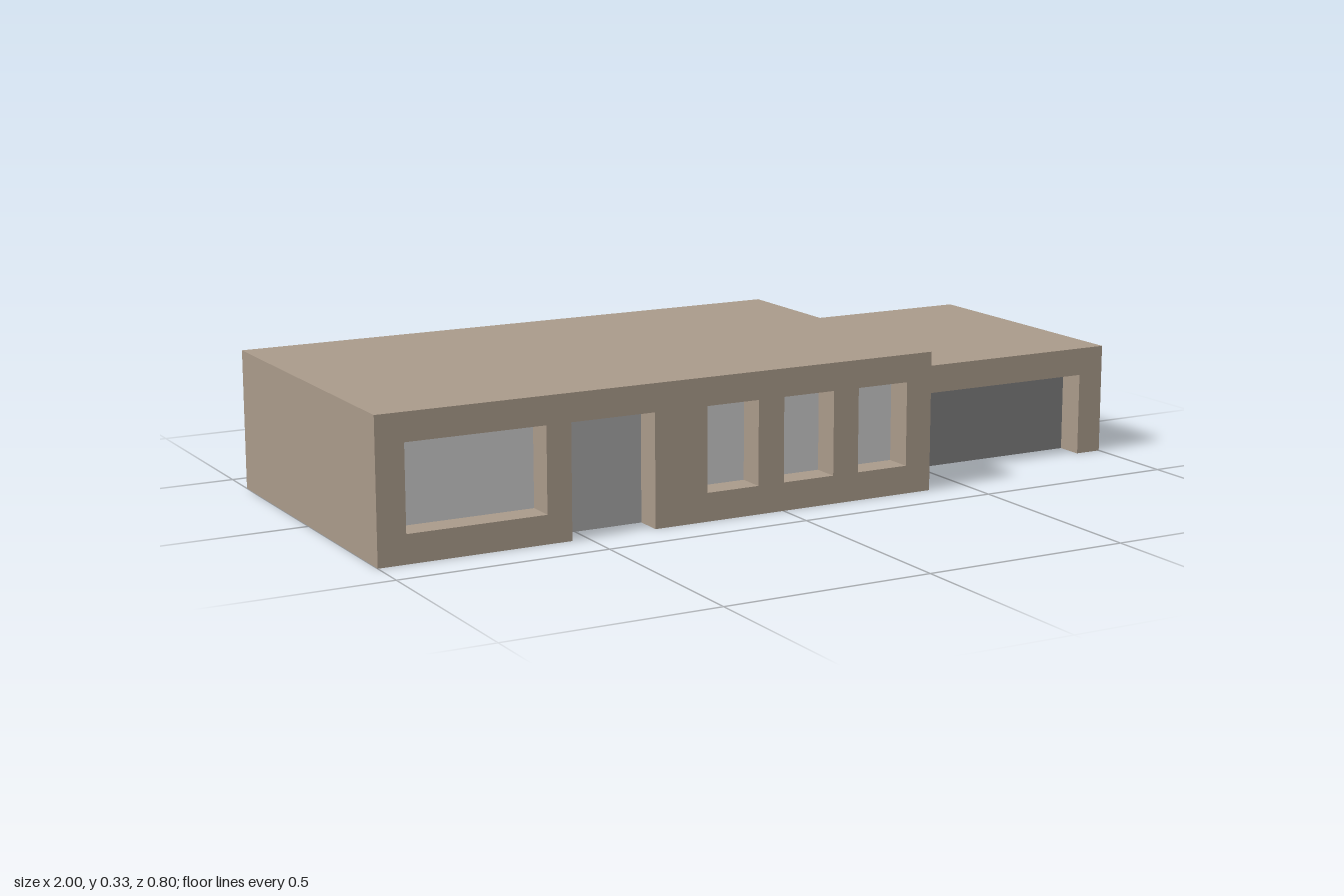
import * as THREE from 'three';

const RECESS = 0.067; // how far the panes sit behind the facade
const PANE = 0.035; // pane thickness

function material(name, color) {
  const m = new THREE.MeshStandardMaterial({ color });
  m.name = name;
  return m;
}

// Axis-aligned box given by its limits
function block(name, [x0, x1], [y0, y1], [z0, z1], mat) {
  const mesh = new THREE.Mesh(new THREE.BoxGeometry(x1 - x0, y1 - y0, z1 - z0), mat);
  mesh.position.set((x0 + x1) / 2, (y0 + y1) / 2, (z0 + z1) / 2);
  mesh.name = name;
  return mesh;
}

// Solid volume with a front wall pierced by recessed openings
function wing(name, x0, x1, height, back, front, wallMat, openings) {
  const group = new THREE.Group();
  group.name = name;
  const wallBack = front - RECESS - PANE;

  // Wall outline: doors notch the base line, windows are holes
  const shape = new THREE.Shape();
  shape.moveTo(x0, 0);
  for (const o of openings.filter((o) => o.y0 === 0)) {
    shape.lineTo(o.x0, 0);
    shape.lineTo(o.x0, o.y1);
    shape.lineTo(o.x1, o.y1);
    shape.lineTo(o.x1, 0);
  }
  shape.lineTo(x1, 0);
  shape.lineTo(x1, height);
  shape.lineTo(x0, height);
  shape.closePath();
  for (const o of openings.filter((o) => o.y0 > 0)) {
    const hole = new THREE.Path();
    hole.moveTo(o.x0, o.y0);
    hole.lineTo(o.x0, o.y1);
    hole.lineTo(o.x1, o.y1);
    hole.lineTo(o.x1, o.y0);
    hole.closePath();
    shape.holes.push(hole);
  }
  const wall = new THREE.Mesh(
    new THREE.ExtrudeGeometry(shape, { depth: RECESS + PANE, bevelEnabled: false }), wallMat);
  wall.position.z = wallBack;
  wall.name = name + 'FrontWall';

  group.add(wall, block(name + 'Body', [x0, x1], [0, height], [back, wallBack], wallMat));
  for (const o of openings) {
    group.add(block(o.name, [o.x0, o.x1], [o.y0, o.y1], [wallBack, front - RECESS], o.mat));
  }
  return group;
}

export function createModel() {
  const wallMat = material('wall', 0xa99a8a);
  const glass = material('windowGlass', 0xc8c8c8);
  const doorMat = material('door', 0xa4a4a4);
  const garageMat = material('garageDoor', 0x7c7c7c);

  const house = new THREE.Group();
  house.name = 'house';

  // Main house: wide window, front door, three narrow windows
  const openings = [
    { name: 'wideWindow', x0: -0.933, x1: -0.6, y0: 0.067, y1: 0.267, mat: glass },
    { name: 'frontDoor', x0: -0.54, x1: -0.333, y0: 0, y1: 0.267, mat: doorMat },
  ];
  for (let i = 0; i < 3; i++) {
    const x0 = -0.2 + i * 0.2;
    openings.push({ name: 'narrowWindow' + (i + 1), x0, x1: x0 + 0.133, y0: 0.067, y1: 0.267, mat: glass });
  }
  house.add(wing('mainHouse', -1, 0.4, 0.333, -0.4, 0.4, wallMat, openings));

  // Lower garage, set back from the main front
  house.add(wing('garage', 0.4, 1, 0.267, -0.4, 0.267, wallMat, [
    { name: 'garageDoor', x0: 0.467, x1: 0.933, y0: 0, y1: 0.2, mat: garageMat },
  ]));
  return house;
}
